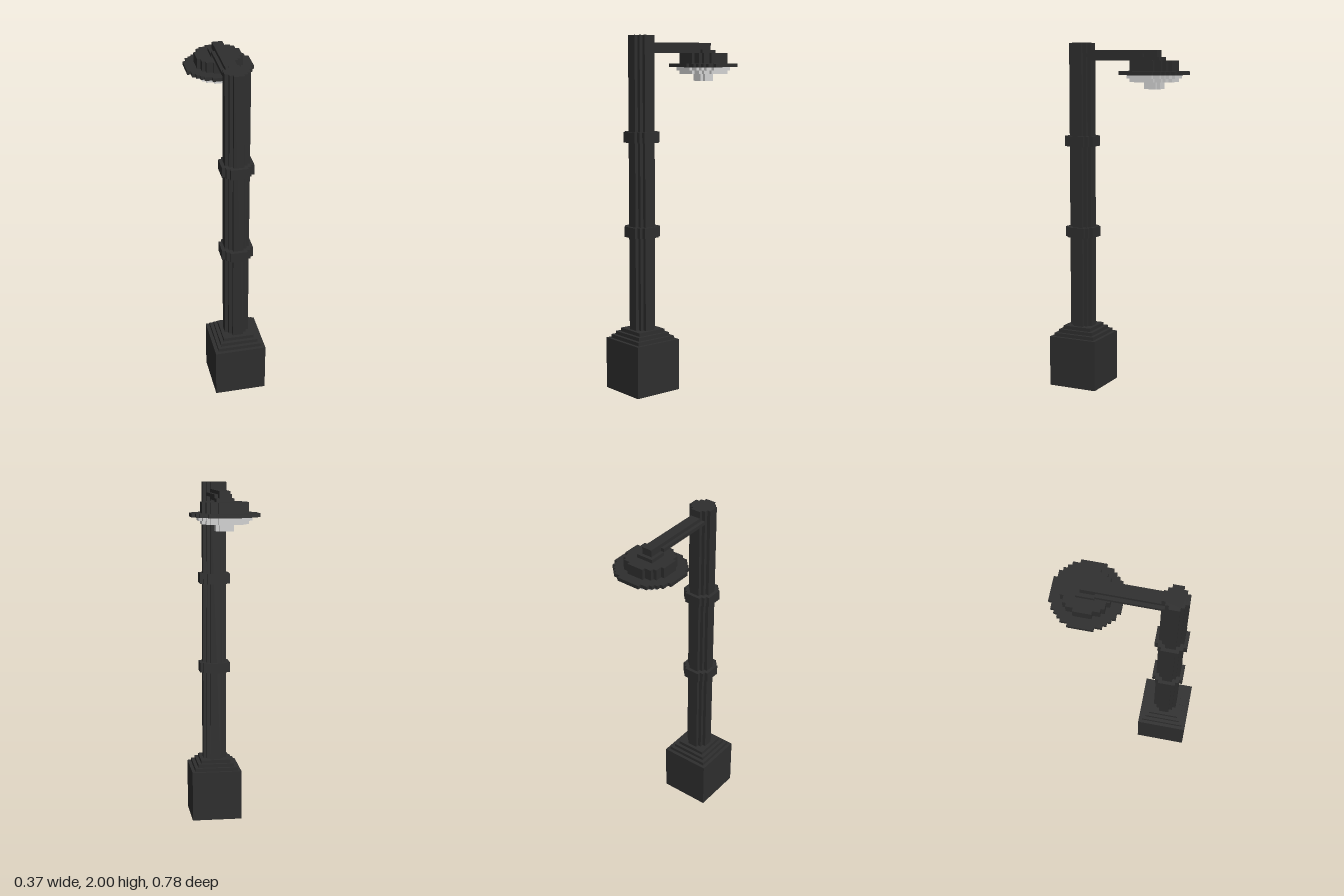
import * as THREE from 'three';

const V = 2 / 102; // one voxel
const POST_Z = 12.5, LAMP_Z = -10.5;

// Half of each round outline: widths of successive rows, edge to middle
const DISCS = {
  5: [3, 5, 5],
  7: [3, 5, 7, 7],
  9: [5, 7, 9, 9, 9],
  13: [5, 9, 11, 11, 13, 13, 13],
  15: [5, 9, 11, 13, 13, 15, 15, 15],
  19: [7, 11, 13, 15, 17, 17, 19, 19, 19, 19],
};

// Stepped round slab between two voxel heights
function discGeometry(size, y0, y1, z) {
  const half = DISCS[size];
  const rows = [...half, ...half.slice(0, -1).reverse()];
  const right = [];
  rows.forEach((w, i) => {
    if (i === 0 || rows[i - 1] !== w) right.push([w / 2, i - size / 2]);
    if (i === size - 1 || rows[i + 1] !== w) right.push([w / 2, i + 1 - size / 2]);
  });
  const left = right.map(([x, y]) => [-x, y]).reverse();
  const shape = new THREE.Shape([...right, ...left].map(([x, y]) => new THREE.Vector2(x * V, y * V)));
  const geo = new THREE.ExtrudeGeometry(shape, { depth: (y1 - y0) * V, bevelEnabled: false });
  geo.rotateX(-Math.PI / 2);
  geo.translate(0, y0 * V, z * V);
  return geo;
}

// Box centred on x, given in voxels
function boxGeometry(w, y0, y1, z0, z1) {
  const geo = new THREE.BoxGeometry(w * V, (y1 - y0) * V, (z1 - z0) * V);
  geo.translate(0, (y0 + y1) / 2 * V, (z0 + z1) / 2 * V);
  return geo;
}

export function createModel() {
  const group = new THREE.Group();
  group.name = 'streetLamp';
  const metal = new THREE.MeshStandardMaterial({ color: 0x2e2e2e });
  metal.name = 'darkMetal';
  const glass = new THREE.MeshStandardMaterial({ color: 0xd4d4d4 });
  glass.name = 'lampGlass';

  const add = (name, geo, material = metal) => {
    const mesh = new THREE.Mesh(geo, material);
    mesh.name = name;
    group.add(mesh);
  };

  // Square base with a stepped top
  add('base', boxGeometry(15, 0, 15, 5, 20));
  [13, 11, 9].forEach((w, i) =>
    add('baseStep', boxGeometry(w, 15 + i, 16 + i, POST_Z - w / 2, POST_Z + w / 2)));

  // Post and its two collars
  add('post', discGeometry(7, 18, 102, POST_Z));
  for (const y of [45, 72]) add('collar', discGeometry(9, y, y + 3, POST_Z));

  // Arm, wider in its middle layer
  add('armCore', boxGeometry(3, 97, 100, -12, 10));
  for (const side of [-1, 1]) {
    const geo = boxGeometry(1, 98, 99, -8, 10);
    geo.translate(side * 2 * V, 0, 0);
    add(side > 0 ? 'armRailLeft' : 'armRailRight', geo);
  }

  // Lamp head
  add('mountPlate', boxGeometry(5, 97, 98, -13, -8));
  add('lampCap', discGeometry(13, 94, 97, LAMP_Z));
  add('lampBrim', discGeometry(19, 93, 94, LAMP_Z));

  // Glass and bulb beneath
  add('glassRim', discGeometry(15, 92, 93, LAMP_Z), glass);
  add('glassLower', discGeometry(13, 91, 92, LAMP_Z), glass);
  add('bulb', discGeometry(5, 89, 91, LAMP_Z), glass);

  return group;
}
